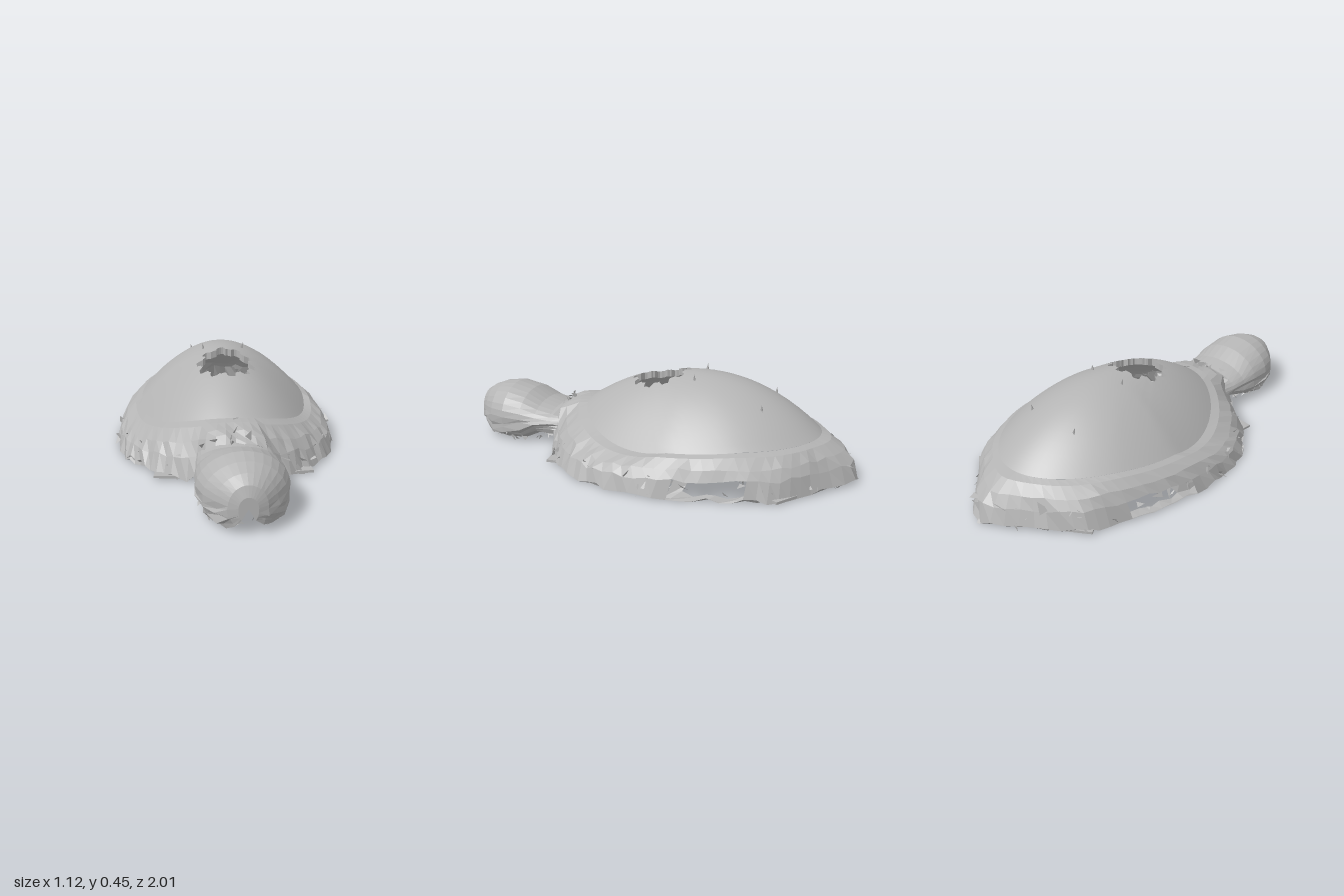
import * as THREE from 'three';

const N = 80; // columns around the body
const V = (x, y, z) => new THREE.Vector3(x, y, z);

// Seeded random number in -1..1
function makeRandom(seed) {
  return () => {
    seed = (seed * 16807) % 2147483647;
    return (seed / 2147483647) * 2 - 1;
  };
}

// Surface through rows of points; skip(row, column) leaves openings
function loft(rows, wrap, smooth, skip = () => false) {
  const n = rows[0].length;
  const index = [];
  for (let r = 0; r < rows.length - 1; r++) {
    for (let i = 0; i < (wrap ? n : n - 1); i++) {
      if (skip(r, i)) continue;
      const j = (i + 1) % n;
      const a = r * n + i, b = (r + 1) * n + i, c = (r + 1) * n + j, d = r * n + j;
      index.push(a, b, c, a, c, d);
    }
  }
  let geo = new THREE.BufferGeometry().setFromPoints(rows.flat());
  geo.setIndex(index);
  if (!smooth) geo = geo.toNonIndexed();
  geo.computeVertexNormals();
  return geo;
}

// Seam between shell and rim: an egg-shaped loop that dips at the shoulders
// and rises over the neck; c is 1 at the front, -1 at the back
const halfWidth = (c) => 0.42 * (c < 0 ? 1 - 0.1 * c * c : 1);
const halfLength = (c) => (c > 0 ? 0.56 : 0.61);
const edgeY = (c) => (c > 0 ? 0.178 - 0.15 * c + 0.227 * c * c : 0.178 + 0.022 * Math.min(1, -2 * c));
function seamPoint(i) {
  const a = (i / N) * Math.PI * 2, c = Math.cos(a);
  return V(halfWidth(c) * Math.sin(a), edgeY(c), -0.2 + c * halfLength(c));
}

// Domed shell height above the ground
function domeY(x, z) {
  const v = (z + 0.2) / halfLength(z + 0.2);
  const s = Math.hypot(x / halfWidth(v), v);
  const c = s > 0.001 ? v / s : 0;
  const power = 1.8 + (c > 0 ? 0.2 : 0.4) * c * c;
  return edgeY(c) + (0.445 - edgeY(c)) * (1 - Math.pow(Math.min(s, 1), power));
}

// Outer outline of the rim, half of it, from front to back: x, z
const half = [[0, 0.52], [0.18, 0.51], [0.32, 0.42], [0.43, 0.31], [0.51, 0.16], [0.545, -0.06],
  [0.52, -0.3], [0.46, -0.52], [0.38, -0.71], [0.21, -0.86], [0, -1]];
const mirrored = half.slice(1, -1).reverse().map(([x, z]) => [-x, z]);
const outline = new THREE.CatmullRomCurve3([...half, ...mirrored].map(([x, z]) => V(x, 0, z)), true);

export function createModel() {
  const model = new THREE.Group();
  const grey = new THREE.MeshStandardMaterial({ color: 0xb4b4b4, side: THREE.DoubleSide });
  const rand = makeRandom(4711);
  const add = (name, geo) => {
    const mesh = new THREE.Mesh(geo, grey);
    mesh.name = name;
    model.add(mesh);
    return mesh;
  };
  const columns = [...Array(N).keys()];

  // Shell: dome running from the ragged hole out to the seam
  const holeEdge = columns.map((i) => {
    const a = (i / N) * Math.PI * 2;
    const r = 0.132 + (i % 8 < 4 ? 0.012 : -0.012) + rand() * 0.005;
    return V(r * Math.sin(a), 0, -0.02 + r * Math.cos(a));
  });
  const domeRows = (reach, drop) => [...Array(15).keys()].map((k) => columns.map((i) => {
    const p = holeEdge[i].clone().lerp(seamPoint(i), (k / 14) * reach);
    p.y = domeY(p.x, p.z) - drop;
    return p;
  }));
  const shellRows = domeRows(1, 0);
  const liningRows = domeRows(0.94, 0.035);
  add('shell', loft(shellRows, true, true));
  add('shellLining', loft(liningRows, true, true));
  add('holeWall', loft([liningRows[0], shellRows[0]], true, false));

  // Rim: rounded skirt that turns in underneath; f is outward, h is height.
  // Above the neck it stays high and lets the neck pass below.
  const rimProfile = [[-0.02, 0.99], [0.25, 0.93], [0.6, 0.72], [0.82, 0.48], [1, 0.07],
    [0.85, 0], [0.5, 0.05], [0.3, 0.35], [0.05, 0.7]];
  const rimPoint = (i, f, h) => {
    const s = seamPoint(i), o = outline.getPoint(i / N);
    const overNeck = o.z > 0.3 ? 1 - THREE.MathUtils.smoothstep(Math.abs(o.x), 0.12, 0.2) : 0;
    const lifted = THREE.MathUtils.lerp(h, 0.72 + 0.28 * h, overNeck);
    return V(s.x + (o.x - s.x) * f, s.y * lifted, s.z + (o.z - s.z) * f);
  };
  const rimRows = rimProfile.map(([f, h], k) => columns.map((i) => {
    const rough = [0, 0, 0.008, 0.01, 0.014, 0.016, 0.02, 0.024, 0.024][k];
    const p = rimPoint(i, f + rand() * rough * 4, h);
    p.y = Math.max(0.004, p.y + rand() * rough);
    return p;
  }));
  // Low openings along both flanks, and gaps in the torn inner wall
  const opening = (r, i) => {
    const z = outline.getPoint(i / N).z;
    if (z < -0.24 && z > -0.54 && (r === 3 || r > 5)) return true;
    return r > 5 && rand() > 0.3;
  };
  add('rim', loft(rimRows, true, false, opening));

  // Head and neck: arched sections, open underneath; z, half width, top, bottom
  const sections = [[0.46, 0.17, 0.2, 0.06], [0.54, 0.18, 0.19, 0.055], [0.62, 0.185, 0.21, 0.04],
    [0.7, 0.195, 0.255, 0.01], [0.8, 0.195, 0.278, 0], [0.88, 0.17, 0.268, 0],
    [0.94, 0.125, 0.245, 0.005], [0.985, 0.08, 0.215, 0.04], [1, 0.04, 0.17, 0.07], [1, 0, 0.12, 0.12]];
  const headRows = sections.map(([z, w, top, bottom], k) => {
    const row = [];
    const mid = 0.12;
    for (let i = 0; i <= 26; i++) {
      const a = THREE.MathUtils.degToRad(248 - (316 * i) / 26);
      const s = Math.sin(a), c = Math.cos(a), low = s < -0.1 && k < 8;
      const across = s < 0 ? Math.sign(c) * Math.pow(Math.abs(c), 0.4) : c;
      const y = mid + s * (s > 0 ? top - mid : mid - bottom);
      row.push(V(w * across + (low ? rand() * 0.01 : 0),
        Math.max(0.004, y + (low ? rand() * 0.012 : 0)), z));
    }
    return row;
  });
  add('head', loft(headRows, false, false));

  for (const side of [-1, 1]) {
    // Front and back foot flaps
    for (const [name, x, z, turn] of [['frontFoot', 0.3, 0.4, 0.1], ['backFoot', 0.33, -0.7, -0.6]]) {
      const foot = add(name, new THREE.BoxGeometry(0.12, 0.012, 0.1));
      foot.position.set(side * x, 0.015, z);
      foot.rotation.y = side * turn;
    }
    // Small spikes standing on the shell
    for (const [x, z] of [[0.1, -0.22], [0.145, -0.56]]) {
      const spike = add('spike', new THREE.ConeGeometry(0.011, 0.045, 3));
      spike.position.set(side * x, domeY(x, z) + 0.008, z);
      spike.rotation.z = side * -0.2;
    }
  }

  // Loose shards around the ragged lower edge of the rim and the head
  const shards = [];
  const shard = (p, size) => {
    for (let k = 0; k < 3; k++) {
      const q = V(p.x + rand() * size, p.y + rand() * size, p.z + rand() * size);
      q.y = Math.max(0.002, q.y);
      shards.push(q);
    }
  };
  for (let k = 0; k < 420; k++) {
    const i = (rand() + 1) * 0.5 * N;
    const f = 0.55 + rand() * 0.38;
    const h = f > 0.85 ? 0.15 : 0.3 + rand() * 0.25;
    const p = rimPoint(i, f, h);
    if (p.z < -0.24 && p.z > -0.55 && k % 4) continue;
    shard(p, 0.034);
  }
  for (let k = 0; k < 60; k++) {
    const a = rand() * Math.PI;
    shard(V(0.16 * Math.sin(a), 0.04 + rand() * 0.025, 0.76 + 0.16 * Math.cos(a)), 0.03);
  }
  const shardGeo = new THREE.BufferGeometry().setFromPoints(shards);
  shardGeo.computeVertexNormals();
  add('shards', shardGeo);

  return model;
}
